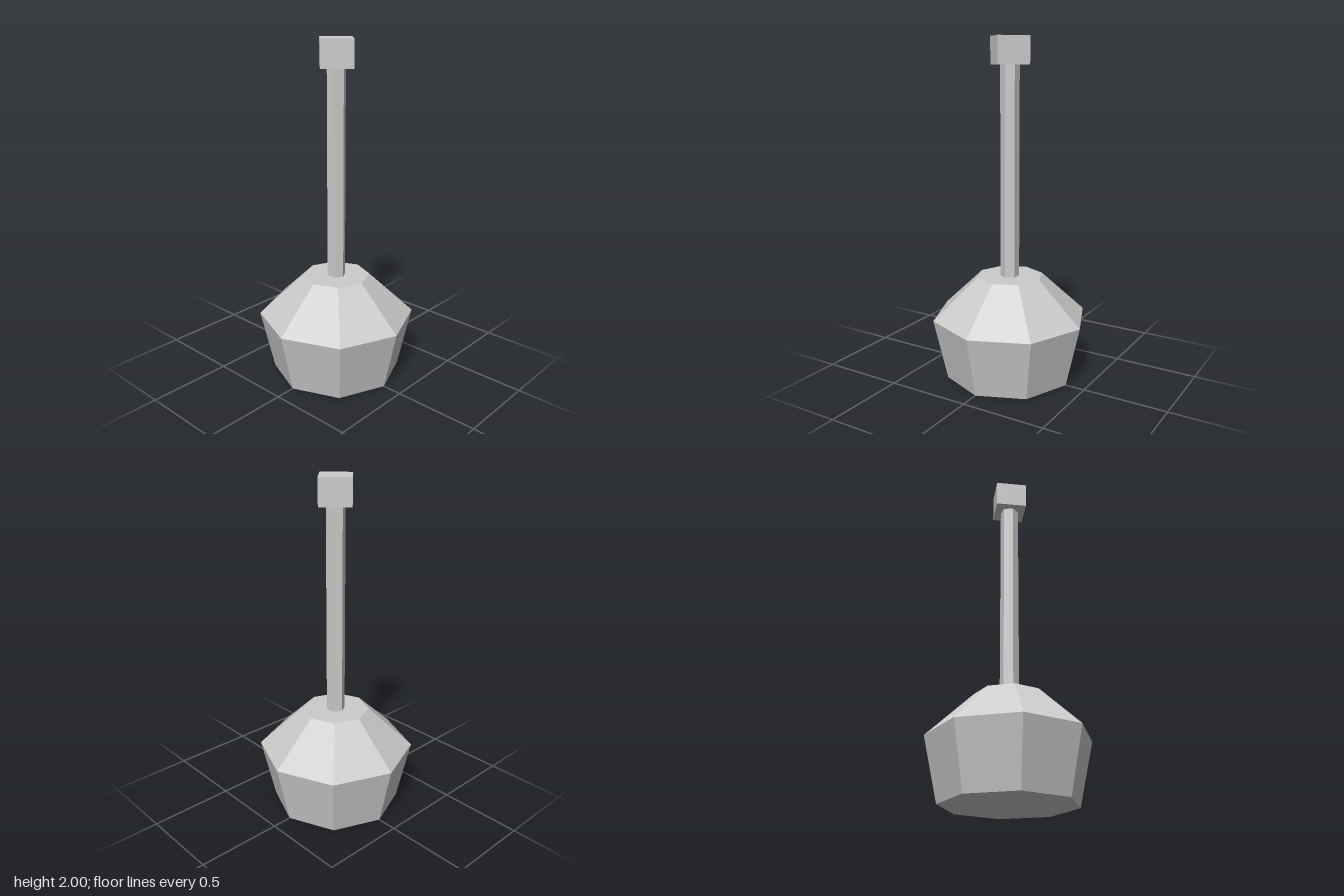
import * as THREE from 'three';

export function createModel() {
  const model = new THREE.Group();
  const gray = new THREE.MeshStandardMaterial({ color: 0xcccccc, flatShading: true });
  gray.name = 'plain gray';

  const add = (name, geometry, y = 0) => {
    const mesh = new THREE.Mesh(geometry, gray);
    mesh.name = name;
    mesh.position.y = y;
    model.add(mesh);
    return mesh;
  };

  // Faceted octagonal head: tapered underside, sloping shoulder, flat top
  const profile = [[0, 0], [0.383, 0], [0.465, 0.365], [0.199, 0.613], [0, 0.613]]
    .map(([r, y]) => new THREE.Vector2(r, y));
  add('head', new THREE.LatheGeometry(profile, 8));

  // Hexagonal shaft with corners on the x axis
  const bottom = 0.613, top = 1.843;
  const shaft = new THREE.CylinderGeometry(0.055, 0.055, top - bottom, 6, 1, true, Math.PI / 2);
  add('shaft', shaft, (bottom + top) / 2);

  // Square end block turned corner-forward
  add('endBlock', new THREE.CylinderGeometry(0.13, 0.13, 2 - top, 4), (2 + top) / 2);

  return model;
}
